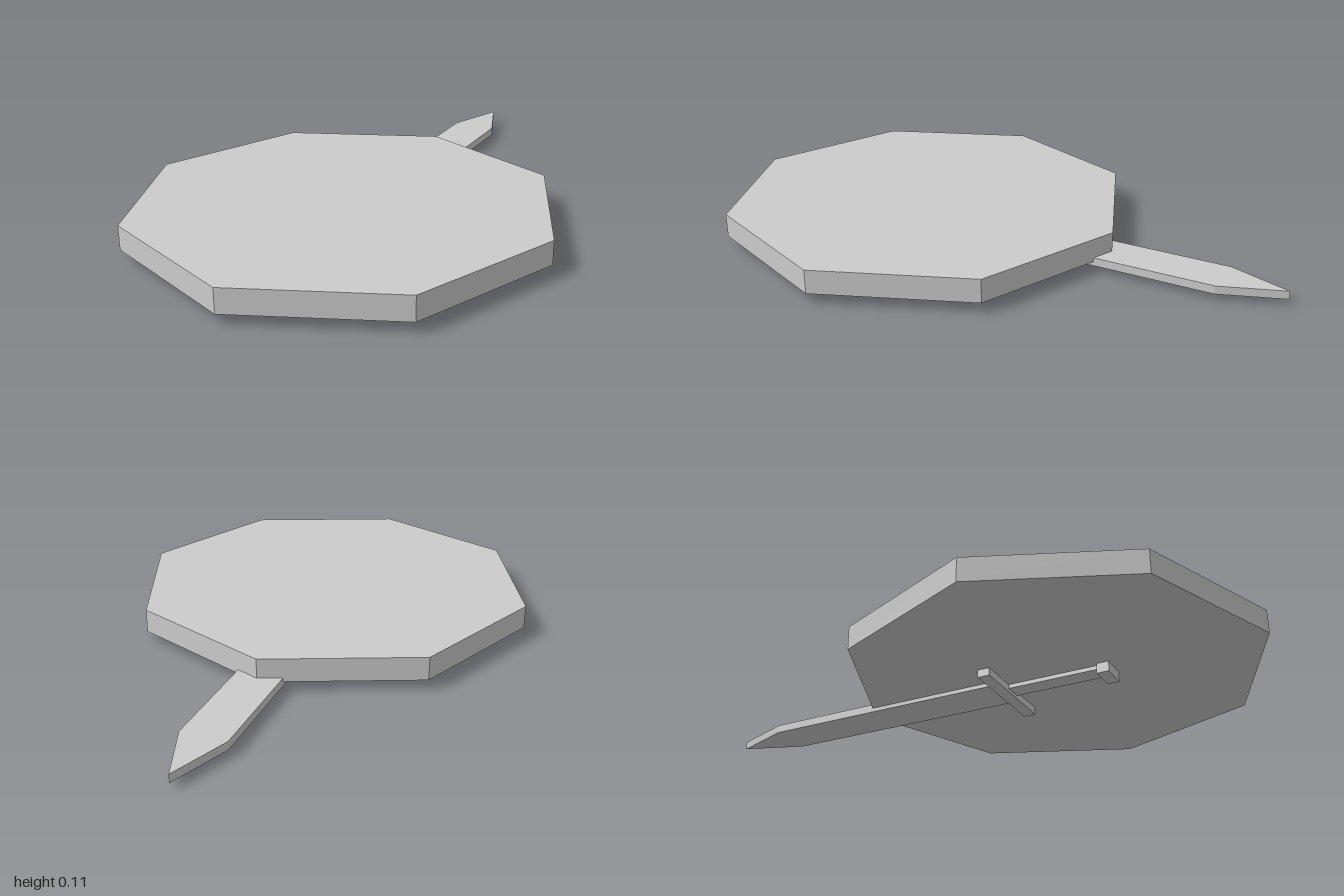
import * as THREE from 'three';

export function createModel() {
  const model = new THREE.Group();
  const material = new THREE.MeshStandardMaterial({ color: 0xcccccc, flatShading: true });
  const swordY = 0.0345; // mid-height of the sword, level with the shield's underside

  const add = (name, geometry, x, y, z) => {
    const mesh = new THREE.Mesh(geometry, material);
    mesh.name = name;
    mesh.position.set(x, y, z);
    model.add(mesh);
    return mesh;
  };

  // Octagonal shield, corners pointing along x and z
  add('shield', new THREE.CylinderGeometry(0.705, 0.705, 0.08, 8), 0, 0.0745, 0.292);

  // Blade: flat outline with a pointed tip, laid down so the tip faces -z
  const outline = new THREE.Shape([
    [-0.077, -0.1], [0.077, -0.1], [0.077, 0.79], [0, 1], [-0.077, 0.79],
  ].map(([x, y]) => new THREE.Vector2(x, y)));
  const blade = new THREE.ExtrudeGeometry(outline, { depth: 0.028, bevelEnabled: false });
  blade.translate(0, 0, -0.014).rotateX(-Math.PI / 2);
  add('blade', blade, 0, swordY, 0);

  // Hilt, half sunk into the shield
  add('guard', new THREE.BoxGeometry(0.358, 0.053, 0.042), 0, swordY, 0.109);
  add('grip', new THREE.BoxGeometry(0.066, 0.028, 0.34), 0, swordY, 0.29);
  add('pommel', new THREE.BoxGeometry(0.094, 0.069, 0.042), 0, swordY, 0.471);

  return model;
}
